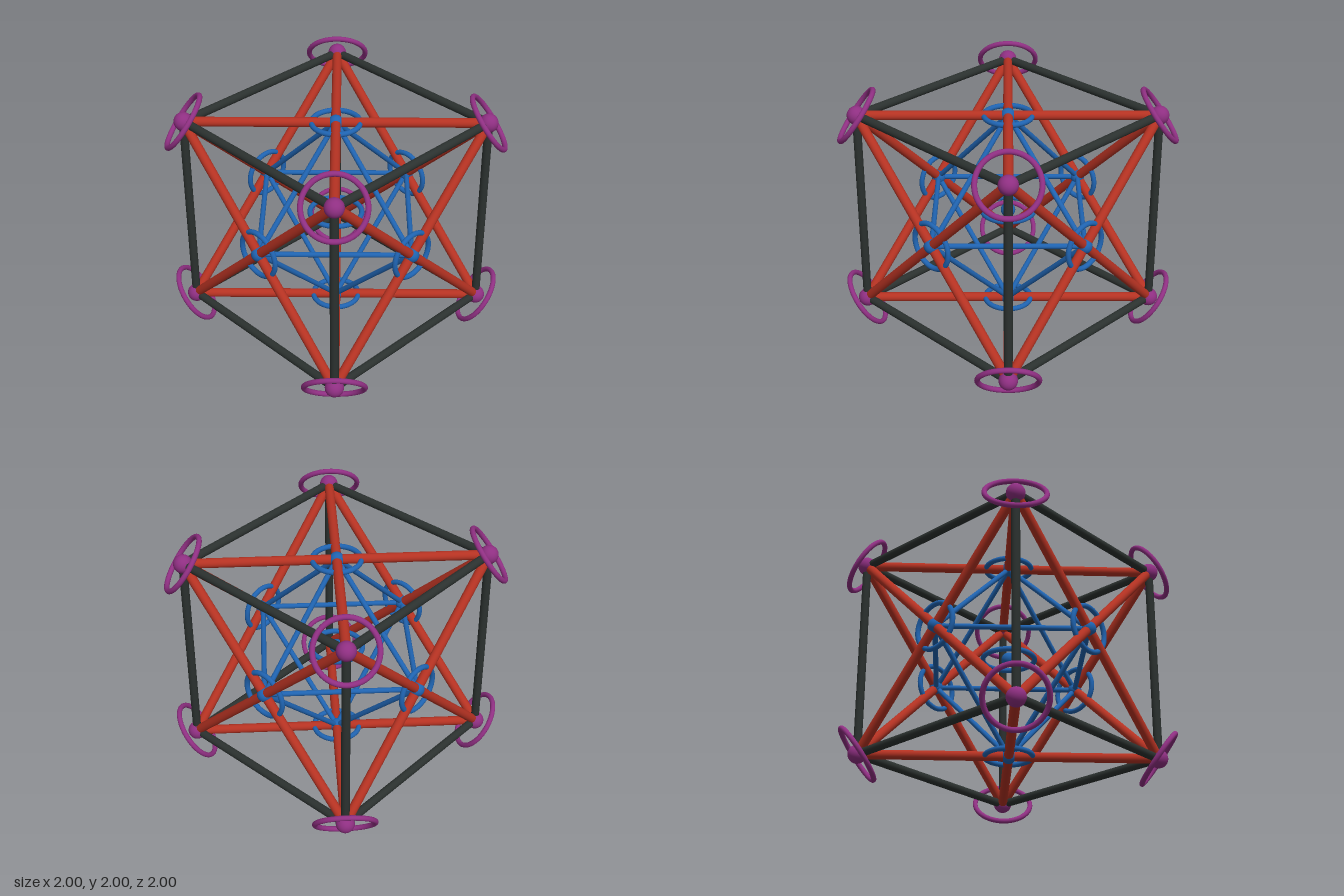
import * as THREE from 'three';

const H = 0.795; // half the cube's edge

const paint = (color) => new THREE.MeshStandardMaterial({ color });
const black = paint(0x2b312f);
const red = paint(0xb53222);
const blue = paint(0x1f63b0);
const purple = paint(0x8f2f82);

const Y = new THREE.Vector3(0, 1, 0);
const Z = new THREE.Vector3(0, 0, 1);

function rod(name, a, b, radius, material) {
  const dir = b.clone().sub(a);
  const mesh = new THREE.Mesh(new THREE.CylinderGeometry(radius, radius, dir.length(), 24), material);
  mesh.position.copy(a).add(b).multiplyScalar(0.5);
  mesh.quaternion.setFromUnitVectors(Y, dir.normalize());
  mesh.name = name;
  return mesh;
}

function ball(name, at, radius, material) {
  const mesh = new THREE.Mesh(new THREE.SphereGeometry(radius, 32, 20), material);
  mesh.position.copy(at);
  mesh.name = name;
  return mesh;
}

function ring(name, at, normal, radius, tube, material) {
  const mesh = new THREE.Mesh(new THREE.TorusGeometry(radius, tube, 16, 64), material);
  mesh.position.copy(at);
  mesh.quaternion.setFromUnitVectors(Z, normal.clone().normalize());
  mesh.name = name;
  return mesh;
}

export function createModel() {
  const model = new THREE.Group();
  model.name = 'cubeLattice';
  const lattice = new THREE.Group();
  lattice.name = 'lattice';
  lattice.position.y = 1;
  model.add(lattice);

  // Cube corners and face centres
  const corners = [];
  for (const x of [-H, H]) for (const y of [-H, H]) for (const z of [-H, H]) corners.push(new THREE.Vector3(x, y, z));
  const faces = [];
  for (const s of [-H, H]) {
    faces.push(new THREE.Vector3(s, 0, 0), new THREE.Vector3(0, s, 0), new THREE.Vector3(0, 0, s));
  }

  // Black cube edges and red face diagonals, told apart by how many coordinates differ
  corners.forEach((a, i) => {
    for (const b of corners.slice(i + 1)) {
      const differing = ['x', 'y', 'z'].filter((k) => a[k] !== b[k]).length;
      if (differing === 1) lattice.add(rod('cubeEdge', a, b, 0.032, black));
      if (differing === 2) lattice.add(rod('faceDiagonal', a, b, 0.036, red));
    }
  });

  // Corner balls, with rings square to the cube's long diagonals
  for (const c of corners) {
    lattice.add(ball('cornerBall', c, 0.071, purple));
    lattice.add(ring('cornerRing', c, c, 0.226, 0.02, purple));
  }

  // Inner octahedron joining neighbouring face centres
  faces.forEach((a, i) => {
    lattice.add(ball('faceBall', a, 0.056, blue));
    lattice.add(ring('faceRing', a, a, 0.18, 0.02, blue));
    for (const b of faces.slice(i + 1)) {
      if (a.dot(b) === 0) lattice.add(rod('octahedronEdge', a, b, 0.02, blue));
    }
  });

  // Centre ball and its level ring
  const centre = new THREE.Vector3();
  lattice.add(ball('centreBall', centre, 0.056, blue));
  lattice.add(ring('centreRing', centre, Y, 0.2, 0.02, blue));

  return model;
}
